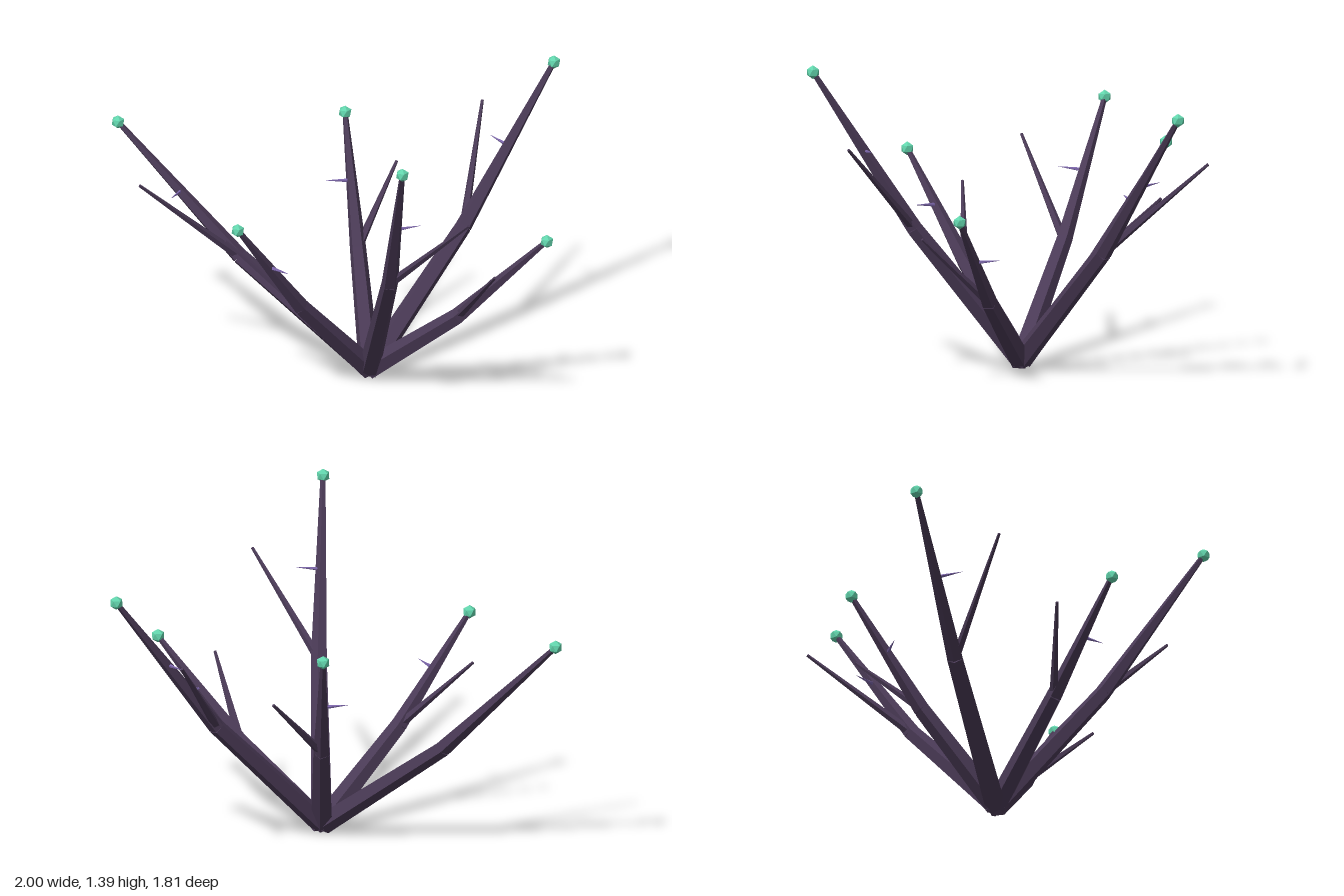
import * as THREE from 'three';

const mat = (name, color) => {
  const m = new THREE.MeshStandardMaterial({ color, flatShading: true });
  m.name = name;
  return m;
};

export function createModel() {
  const bark = mat('dark purple bark', 0x4a3a56);
  const thornMat = mat('violet thorn', 0x7c66aa);
  const gemMat = mat('green bud', 0x62d4ac);
  const root = new THREE.Vector3(0.165, 0.042, 0.145);
  const up = new THREE.Vector3(0, 1, 0);

  // tapered five-sided rod between two points
  const rod = (name, a, b, r0, r1, material) => {
    const d = b.clone().sub(a);
    const mesh = new THREE.Mesh(new THREE.CylinderGeometry(r1, r0, d.length(), 5), material);
    mesh.position.copy(a).addScaledVector(d, 0.5);
    mesh.quaternion.setFromUnitVectors(up, d.normalize());
    mesh.name = name;
    return mesh;
  };

  // twenty-sided bud with one corner pointing straight up
  const budGeometry = new THREE.IcosahedronGeometry(0.031, 0).rotateZ(0.5536);

  // bend, tip, twig end, thorn start, thorn end of each branch
  const branches = [
    [[-0.42, 0.49, 0.33], [-0.97, 1.05, 0.5], [-0.665, 0.9, 0.735], [-0.685, 0.765, 0.41], [-0.65, 0.775, 0.525]],
    [[-0.08, 0.48, -0.085], [-0.32, 1.0, -0.3], [-0.12, 0.78, -0.415], [-0.2, 0.74, -0.19], [-0.275, 0.75, -0.1]],
    [[0.07, 0.44, 0.52], [0, 0.905, 0.88], [-0.195, 0.75, 0.72], [0.04, 0.675, 0.695], [0.16, 0.685, 0.72]],
    [[0.28, 0.58, -0.385], [0.4, 1.235, -0.88], [0.06, 0.99, -0.8], [0.34, 0.905, -0.625], [0.22, 0.915, -0.65]],
    [[0.53, 0.65, 0.465], [0.85, 1.36, 0.785], [0.992, 1.055, 0.49], [0.68, 1.0, 0.625], [0.755, 1.01, 0.535]],
    [[0.57, 0.36, 0.025], [0.97, 0.78, -0.1], [0.885, 0.67, 0.165], [0.765, 0.57, -0.035], [0.73, 0.585, -0.15]],
  ];

  const model = new THREE.Group();
  model.name = 'thornyShrub';
  for (const points of branches) {
    const [bend, tip, twig, thornA, thornB] = points.map((p) => new THREE.Vector3(...p));
    const branch = new THREE.Group();
    branch.name = 'branch';
    const bud = new THREE.Mesh(budGeometry, gemMat);
    bud.name = 'bud';
    bud.position.copy(tip);
    branch.add(
      rod('lowerStem', root, bend, 0.05, 0.038, bark),
      rod('upperStem', bend, tip, 0.038, 0.012, bark),
      rod('twig', bend, twig, 0.021, 0.007, bark),
      rod('thorn', thornA, thornB, 0.01, 0.0005, thornMat),
      bud,
    );
    model.add(branch);
  }
  return model;
}
